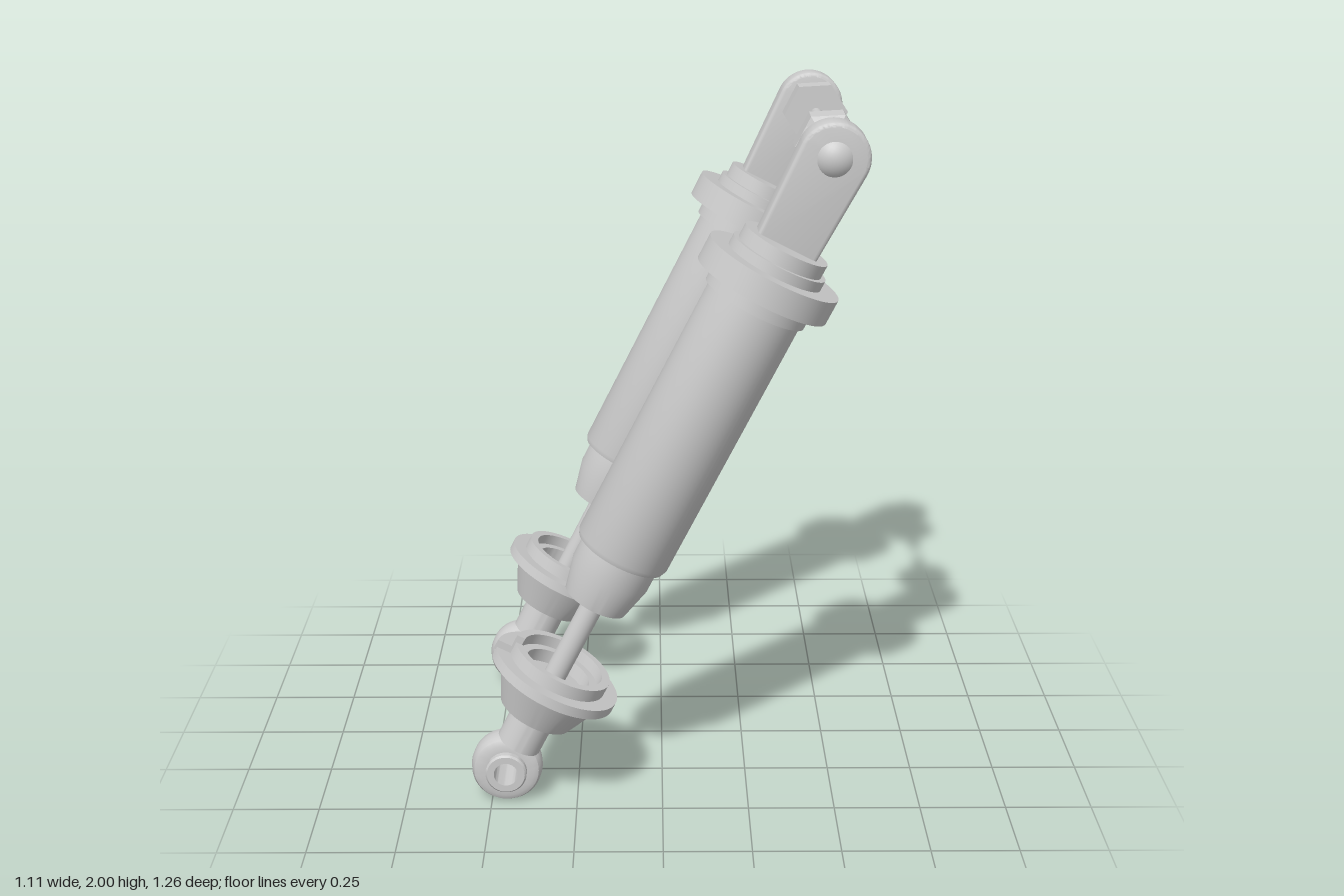
import * as THREE from 'three';
import { toCreasedNormals } from 'three/addons/utils/BufferGeometryUtils.js';

const grey = new THREE.MeshStandardMaterial({ color: 0xcccccc });
const greyDouble = new THREE.MeshStandardMaterial({ color: 0xcccccc, side: THREE.DoubleSide });
const LENGTH = 2.017; // lower eye centre to upper ball centre

function add(parent, name, geometry, material = grey) {
  const mesh = new THREE.Mesh(geometry, material);
  mesh.name = name;
  parent.add(mesh);
  return mesh;
}

const vec = (points) => points.map(([r, y]) => new THREE.Vector2(r, y));
const lathe = (points, segments = 56) =>
  toCreasedNormals(new THREE.LatheGeometry(vec(points), segments), 0.5);

// Spring cup with a parallel-sided slot facing +z
function springCup() {
  const group = new THREE.Group();
  group.name = 'springCup';
  const half = 0.024;
  const profile = [
    [0.03, 0.19], [0.112, 0.19], [0.165, 0.305], [0.193, 0.305], [0.193, 0.335], [0.15, 0.335],
    [0.15, 0.373], [0.125, 0.373], [0.125, 0.34], [0.1, 0.34], [0.1, 0.3], [0.03, 0.3],
  ];
  const ring = new THREE.LatheGeometry(vec([...profile, profile[0]]), 64);
  const p = ring.attributes.position;
  const rows = profile.length + 1;
  for (let i = 0; i < p.count; i++) {
    const r = profile[(i % rows) % profile.length][0];
    const gap = Math.asin(half / r);
    const phi = gap + (Math.floor(i / rows) / 64) * (Math.PI * 2 - 2 * gap);
    p.setX(i, r * Math.sin(phi));
    p.setZ(i, r * Math.cos(phi));
  }
  add(group, 'cupShell', toCreasedNormals(ring, 0.5), greyDouble);
  // Flat walls on both sides of the slot
  for (const side of [-1, 1]) {
    const wall = new THREE.ShapeGeometry(new THREE.Shape(vec(profile)));
    const w = wall.attributes.position;
    for (let i = 0; i < w.count; i++) {
      const r = w.getX(i);
      w.setXYZ(i, side * half, w.getY(i), Math.sqrt(r * r - half * half));
    }
    wall.computeVertexNormals();
    add(group, 'slotWall', wall, greyDouble);
  }
  return group;
}

// Flat lug with a rounded end around the ball
function upperLug() {
  const base = 1.74 - LENGTH;
  const shape = new THREE.Shape();
  shape.moveTo(-0.076, base);
  shape.lineTo(0.076, base);
  shape.lineTo(0.086, 0);
  shape.absarc(0, 0, 0.086, 0, Math.PI, false);
  shape.closePath();
  const geometry = new THREE.ExtrudeGeometry(shape, {
    depth: 0.07, bevelEnabled: true, bevelThickness: 0.012, bevelSize: 0.012, bevelSegments: 3, curveSegments: 32,
  });
  geometry.translate(0, LENGTH, -0.035);
  return toCreasedNormals(geometry, 0.6);
}

// Ball stud pointing along +z from the ball centre
function ballStud() {
  const group = new THREE.Group();
  group.name = 'ballStud';
  add(group, 'ball', new THREE.SphereGeometry(0.067, 40, 24));
  const neck = lathe([[0.05, 0.035], [0.042, 0.055], [0.034, 0.07], [0.032, 0.082], [0.037, 0.095],
    [0.05, 0.115], [0.066, 0.132], [0.082, 0.15]], 40);
  add(group, 'studNeck', neck.rotateX(Math.PI / 2));
  // Hexagon with its corners up and down and a chamfered inner end
  const hex = new THREE.LatheGeometry(vec([[0, 0.128], [0.068, 0.128], [0.094, 0.152], [0.094, 0.234], [0, 0.234]]), 6);
  add(group, 'hexagon', toCreasedNormals(hex, 0.3).rotateX(Math.PI / 2));
  const pin = new THREE.CylinderGeometry(0.017, 0.017, 0.18, 24).rotateX(Math.PI / 2);
  add(group, 'studPin', pin).position.z = 0.31;
  return group;
}

// Lower eye around the local z axis
function lowerEye() {
  const group = new THREE.Group();
  group.name = 'lowerEye';
  const eye = lathe([[0.055, -0.047], [0.08, -0.047], [0.094, -0.04], [0.101, -0.027], [0.104, 0],
    [0.101, 0.027], [0.094, 0.04], [0.08, 0.047], [0.055, 0.047]]);
  add(group, 'eyeRing', eye.rotateX(Math.PI / 2));
  const bush = lathe([[0.035, -0.07], [0.055, -0.07], [0.06, -0.064], [0.06, 0.064], [0.055, 0.07],
    [0.035, 0.07], [0.035, -0.07]], 48);
  add(group, 'bushing', bush.rotateX(Math.PI / 2));
  // Collar joining the eye to the cup
  add(group, 'collar', lathe([[0.052, 0.072], [0.066, 0.078], [0.066, 0.195], [0, 0.195]]));
  // Underside of the collar, open around the bushing
  const underside = new THREE.Shape();
  underside.absarc(0, 0, 0.055, 0, Math.PI * 2, false);
  const cap = new THREE.ShapeGeometry(underside, 32).rotateX(Math.PI / 2).translate(0, 0.073, 0);
  add(group, 'collarBase', cap);
  return group;
}

function shock(name, lowerZ, upperZ, slotAngle) {
  const group = new THREE.Group();
  group.name = name;
  const inward = lowerZ > 0 ? -1 : 1;
  group.add(lowerEye());
  const cup = springCup();
  cup.rotation.y = slotAngle;
  group.add(cup);
  add(group, 'pistonRod', new THREE.CylinderGeometry(0.033, 0.033, 0.42, 32)).position.y = 0.4;
  // Damper body with tapered nose, collars and cap
  add(group, 'damperBody', lathe([[0, 0.585], [0.095, 0.585], [0.117, 0.68], [0.117, 0.75], [0.133, 0.75],
    [0.139, 0.765], [0.139, 1.565], [0.15, 1.565], [0.15, 1.61]], 64));
  add(group, 'upperFlange', lathe([[0.13, 1.607], [0.196, 1.607], [0.196, 1.68], [0.14, 1.68],
    [0.14, 1.71], [0.125, 1.71], [0.125, 1.75], [0, 1.75]], 64));
  add(group, 'upperLug', upperLug());
  const stud = ballStud();
  stud.position.y = LENGTH;
  if (inward < 0) stud.rotation.y = Math.PI;
  group.add(stud);

  // Lean the local y axis along the line between the two mounts
  const from = new THREE.Vector3(-0.455, 0.105, lowerZ);
  const y = new THREE.Vector3(0.455, 1.905, upperZ).sub(from).normalize();
  const x = new THREE.Vector3().crossVectors(y, new THREE.Vector3(0, 0, 1)).normalize();
  const z = new THREE.Vector3().crossVectors(x, y);
  group.quaternion.setFromRotationMatrix(new THREE.Matrix4().makeBasis(x, y, z));
  group.position.copy(from);
  return group;
}

export function createModel() {
  const model = new THREE.Group();
  model.name = 'shockAbsorberPair';
  model.add(shock('frontShock', 0.417, 0.434, -Math.PI / 2));
  model.add(shock('backShock', -0.382, -0.444, Math.PI / 2 + 0.49));
  return model;
}
